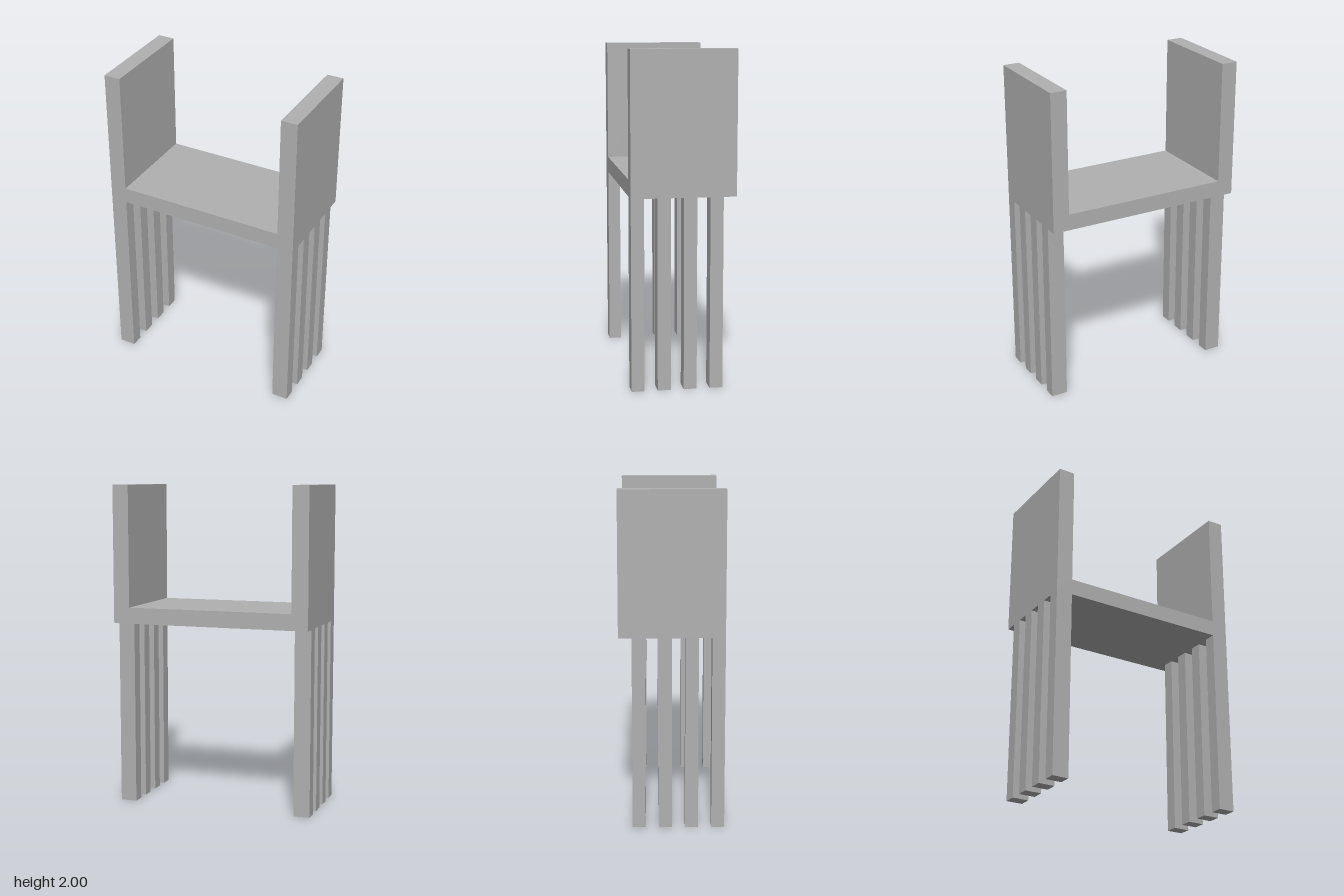
import * as THREE from 'three';

const HALF_W = 0.622, INNER = 0.52, DEPTH = 0.622;
const SEAT_BOTTOM = 1.148, SEAT_TOP = 1.248, TOP = 2;

export function createModel() {
  const group = new THREE.Group();
  const grey = new THREE.MeshStandardMaterial({ color: 0xb0b0b0 });
  grey.name = 'grey';

  // Seat and both upright side panels: one U-shaped section run front to back
  const section = new THREE.Shape([
    [-HALF_W, SEAT_BOTTOM], [HALF_W, SEAT_BOTTOM], [HALF_W, TOP], [INNER, TOP],
    [INNER, SEAT_TOP], [-INNER, SEAT_TOP], [-INNER, TOP], [-HALF_W, TOP],
  ].map(([x, y]) => new THREE.Vector2(x, y)));
  const bodyGeometry = new THREE.ExtrudeGeometry(section, { depth: DEPTH, bevelEnabled: false });
  bodyGeometry.translate(0, 0, -DEPTH / 2);
  const body = new THREE.Mesh(bodyGeometry, grey);
  body.name = 'seatAndSidePanels';
  group.add(body);

  // Four slat legs per side, starting flush with the front; gaps equal the slat depth
  const slat = DEPTH / 8;
  const legGeometry = new THREE.BoxGeometry(HALF_W - INNER, SEAT_BOTTOM, slat);
  for (const [side, name] of [[1, 'left'], [-1, 'right']]) {
    const legs = new THREE.Group();
    legs.name = `${name}Legs`;
    for (let i = 0; i < 4; i++) {
      const leg = new THREE.Mesh(legGeometry, grey);
      leg.name = `${name}Leg${i + 1}`;
      leg.position.set(side * (HALF_W + INNER) / 2, SEAT_BOTTOM / 2, DEPTH / 2 - slat * (2 * i + 0.5));
      legs.add(leg);
    }
    group.add(legs);
  }
  return group;
}
